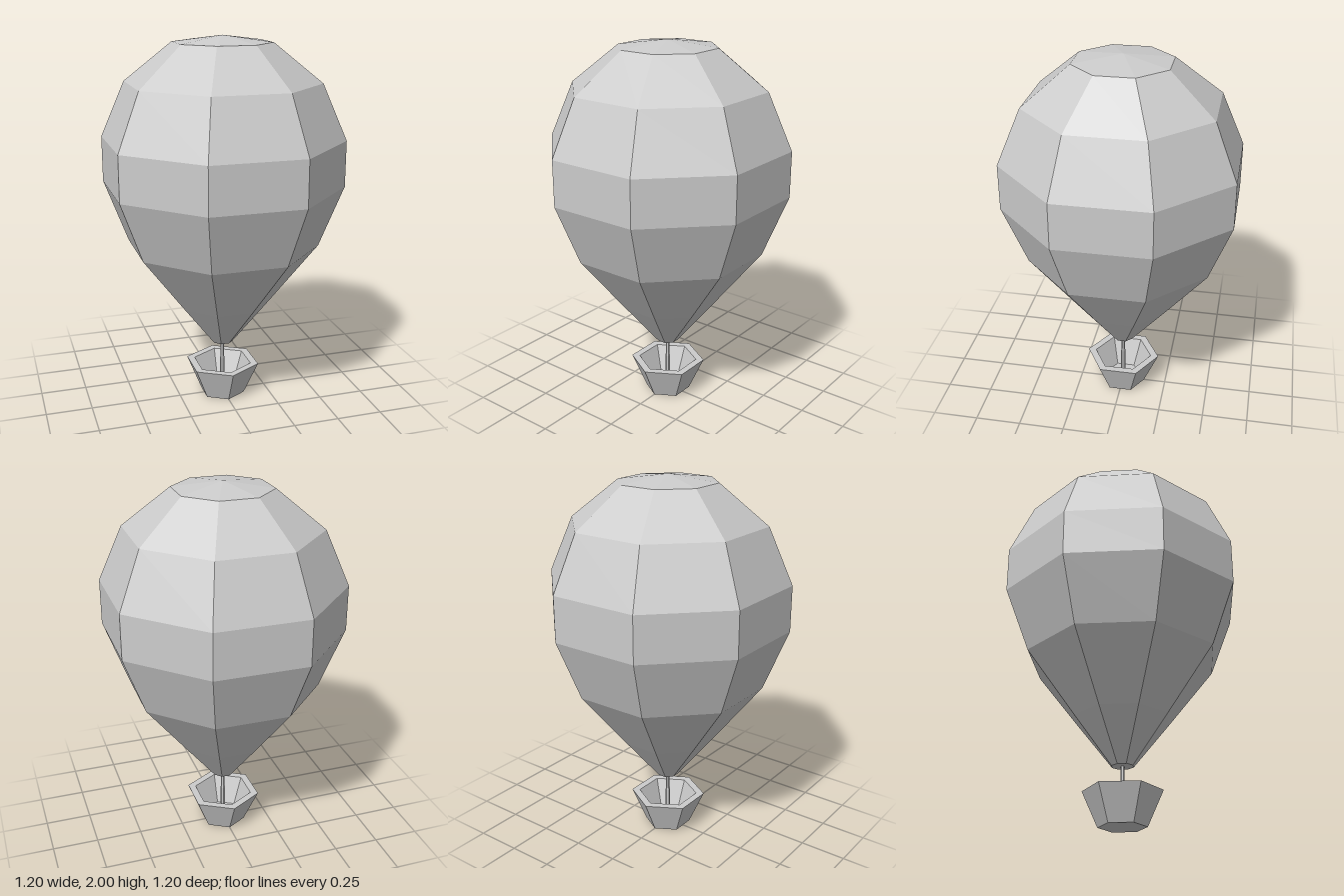
import * as THREE from 'three';

const material = new THREE.MeshStandardMaterial({ color: 0xcccccc, flatShading: true });

// Faceted solid of revolution from [radius, height] pairs, listed bottom to top on the outside
function facetedLathe(name, profile, sides, startAngle = 0) {
  const points = profile.map(([r, y]) => new THREE.Vector2(r, y));
  const geometry = new THREE.LatheGeometry(points, sides, startAngle).toNonIndexed();
  geometry.computeVertexNormals();
  const mesh = new THREE.Mesh(geometry, material);
  mesh.name = name;
  return mesh;
}

export function createModel() {
  const balloon = new THREE.Group();
  balloon.name = 'hotAirBalloon';

  // Eight-sided envelope with flat panels facing the axes; radii given at the panel middles
  const toCorner = 1 / Math.cos(Math.PI / 8);
  const envelope = [
    [0, 0.31], [0.055, 0.31], [0.24, 0.56], [0.48, 0.89], [0.6, 1.22],
    [0.6, 1.465], [0.48, 1.76], [0.243, 1.965], [0, 2],
  ].map(([r, y]) => [r * toCorner, y]);
  balloon.add(facetedLathe('envelope', envelope, 8, Math.PI / 8));

  // Hollow six-sided basket with a thick rim and a floor
  balloon.add(facetedLathe('basket', [
    [0, 0], [0.125, 0], [0.207, 0.185], [0.163, 0.185], [0.1, 0.03], [0, 0.03],
  ], 6));

  // Pole from the basket floor to the mouth of the envelope
  balloon.add(facetedLathe('pole', [
    [0, 0.025], [0.013, 0.025], [0.013, 0.2], [0.01, 0.22], [0.01, 0.315], [0, 0.315],
  ], 6));

  return balloon;
}
